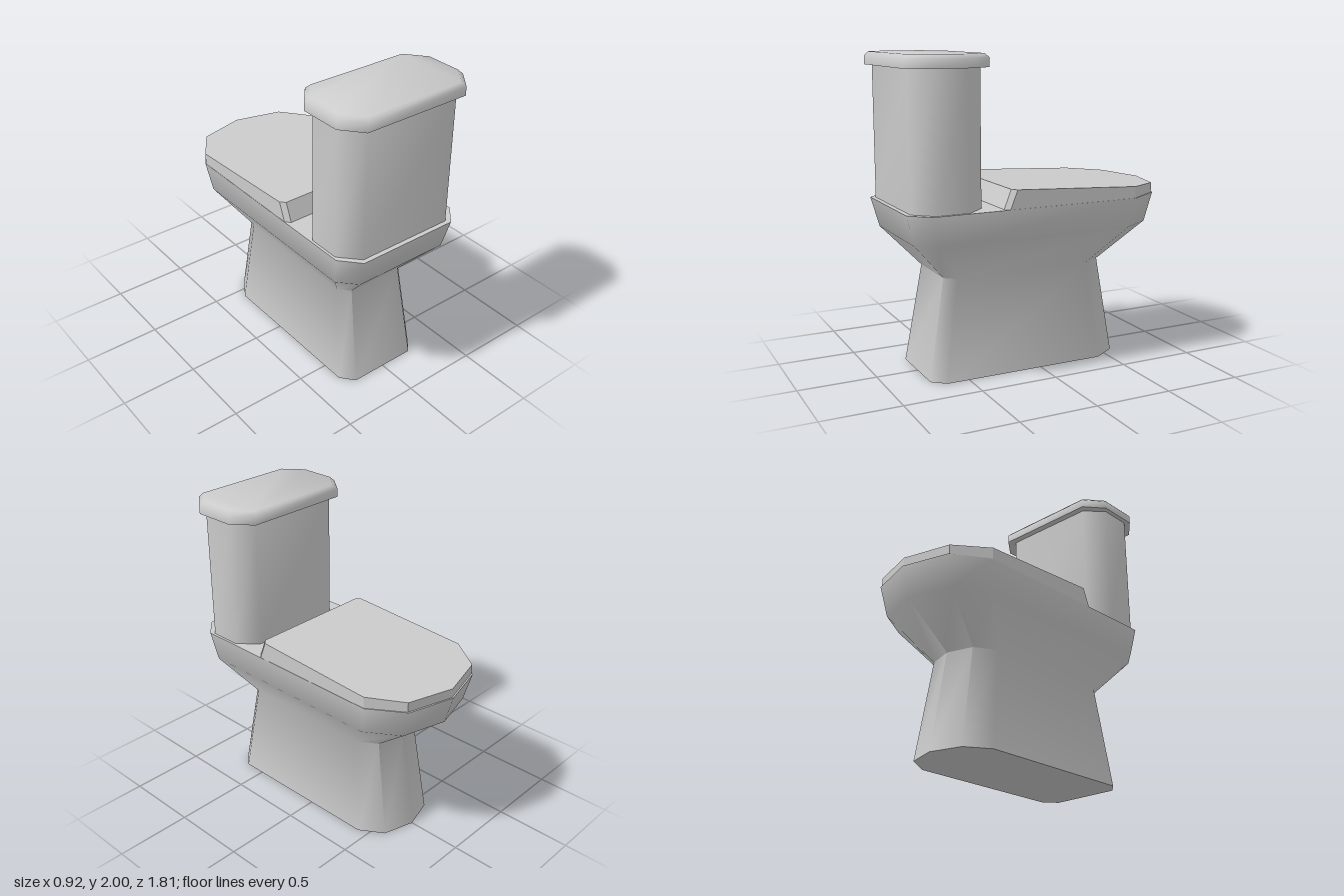
import * as THREE from 'three';
import { toCreasedNormals } from 'three/addons/utils/BufferGeometryUtils.js';

const material = new THREE.MeshStandardMaterial({ color: 0xcccccc });

// Mirrors a half outline of [x, z] points (smallest z first, x >= 0) into a closed loop
function mirrorLoop(half) {
  const other = half.filter(([x]) => x > 0).reverse().map(([x, z]) => [-x, z]);
  return [...half, ...other];
}

// Joins stacked loops of [x, y, z] points, bottom to top, and closes both ends
function loft(name, loops, crease) {
  const n = loops[0].length;
  const index = [];
  loops.slice(1).forEach((_, r) => {
    for (let i = 0; i < n; i++) {
      const a = r * n + i, b = r * n + (i + 1) % n;
      index.push(a, a + n, b, b, a + n, b + n);
    }
  });
  const top = (loops.length - 1) * n;
  for (let i = 1; i < n - 1; i++) {
    index.push(0, i, i + 1, top, top + i + 1, top + i);
  }
  const geometry = new THREE.BufferGeometry();
  geometry.setAttribute('position', new THREE.Float32BufferAttribute(loops.flat(2), 3));
  geometry.setIndex(index);
  const mesh = new THREE.Mesh(toCreasedNormals(geometry, crease), material);
  mesh.name = name;
  return mesh;
}

const atHeight = (half, y) => mirrorLoop(half).map(([x, z]) => [x, y, z]);

// Pointed nose at -z, straight sides, chamfered corners at +z
const bowlHalf = (w, nose, mid, side, corner, back) => [
  [0, nose], [w * 0.68, mid], [w, side], [w, corner], [w * 0.76, back],
];

// Rectangle with chamfered corners
const tankHalf = (w, z0, z1, cx, cz) => [
  [w - cx, z0], [w, z0 + cz], [w, z1 - cz], [w - cx, z1],
];

export function createModel() {
  const group = new THREE.Group();

  // Pedestal narrowing to a waist, then flaring into the bowl
  group.add(loft('pedestalBowl', [
    atHeight(bowlHalf(0.3, -0.64, -0.58, -0.43, 0.645, 0.73), 0),
    atHeight(bowlHalf(0.25, -0.53, -0.48, -0.35, 0.55, 0.62), 0.64),
    atHeight(bowlHalf(0.425, -0.85, -0.77, -0.56, 0.74, 0.85), 0.89),
    atHeight(bowlHalf(0.45, -0.905, -0.82, -0.6, 0.78, 0.9), 1.08),
  ], 1.15));

  // Closed seat cover, wedge shaped, with a sloping front edge toward the tank
  const coverHalf = (inset, z1) => [
    [0, -0.895 + inset], [0.305, -0.81 + inset], [0.448, -0.595],
    [0.448, z1 - 0.03], [0.42, z1],
  ];
  group.add(loft('seatCover', [
    atHeight(coverHalf(0, 0.315), 1.08),
    mirrorLoop(coverHalf(0, 0.268)).map(([x, z]) => [x, 1.186 + 0.052 * z, z]),
  ], 0.3));

  // Water tank
  const tank = tankHalf(0.433, 0.42, 0.87, 0.11, 0.12);
  group.add(loft('tank', [atHeight(tank, 1.07), atHeight(tank, 1.93)], 1.15));

  // Tank lid with a softened upper edge
  const lid = tankHalf(0.462, 0.375, 0.908, 0.105, 0.13);
  group.add(loft('tankLid', [
    atHeight(lid, 1.92),
    atHeight(lid, 1.975),
    atHeight(tankHalf(0.44, 0.4, 0.885, 0.1, 0.125), 2),
  ], 1.15));

  return group;
}
